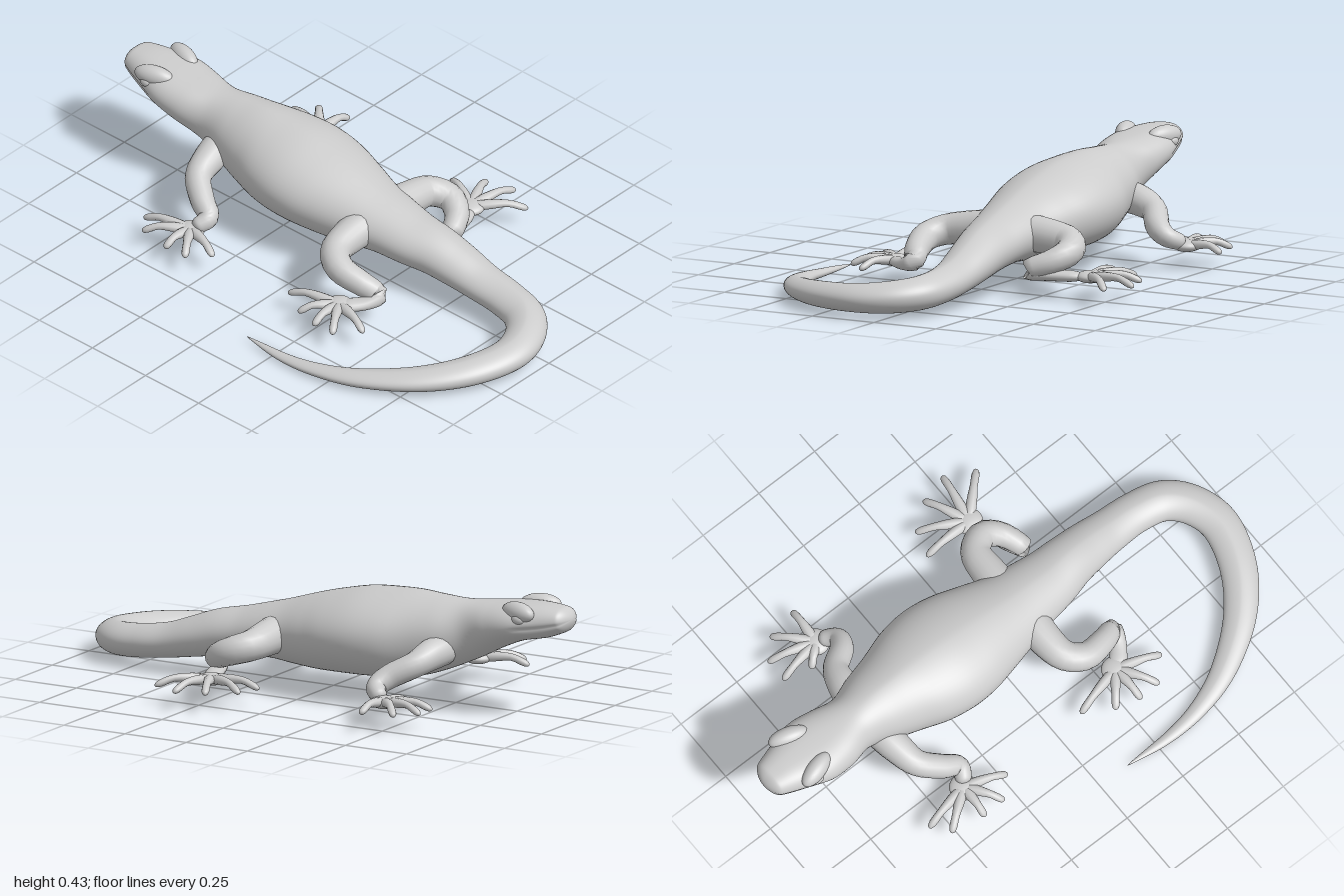
import * as THREE from 'three';

const material = new THREE.MeshStandardMaterial({ color: 0xcccccc, roughness: 0.8 });
const UP = new THREE.Vector3(0, 1, 0);

// Sweep an oval section along stations [x, y, z, halfWidth, halfHeight], with rounded ends.
// shape(angle, centre) may return [side, up] multipliers for the section.
function sweep(name, stations, { rings = 24, sides = 14, round = 0.1, shape } = {}) {
  const path = new THREE.CatmullRomCurve3(stations.map(s => new THREE.Vector3(s[0], s[1], s[2])), false, 'catmullrom', 0.5);
  const size = new THREE.CatmullRomCurve3(stations.map(s => new THREE.Vector3(s[3], s[4] ?? s[3], 0)), false, 'catmullrom', 0.5);
  const pos = [], index = [];
  for (let i = 0; i <= rings; i++) {
    const s = i / rings, u = s * s * (3 - 2 * s);
    const c = path.getPoint(u), r = size.getPoint(u);
    const t = path.getTangent(u);
    const side = new THREE.Vector3().crossVectors(t, UP).normalize();
    const up = new THREE.Vector3().crossVectors(side, t);
    const e = Math.min(1, Math.min(u, 1 - u) / round);
    const k = Math.max(0.02, Math.sqrt(1 - (1 - e) ** 2));
    for (let j = 0; j < sides; j++) {
      const a = (j / sides) * Math.PI * 2;
      const [m, n] = shape ? shape(a, c) : [Math.cos(a), Math.sin(a)];
      const p = c.clone().addScaledVector(side, r.x * k * m).addScaledVector(up, r.y * k * n);
      pos.push(p.x, p.y, p.z);
    }
  }
  for (let i = 0; i < rings; i++) {
    for (let j = 0; j < sides; j++) {
      const a = i * sides + j, b = i * sides + (j + 1) % sides;
      index.push(a, a + sides, b, b, a + sides, b + sides);
    }
  }
  // close both ends
  for (let j = 1; j < sides - 1; j++) {
    const l = rings * sides;
    index.push(0, j, j + 1, l, l + j + 1, l + j);
  }
  const g = new THREE.BufferGeometry();
  g.setAttribute('position', new THREE.Float32BufferAttribute(pos, 3));
  g.setIndex(index);
  g.computeVertexNormals();
  const mesh = new THREE.Mesh(g, material);
  mesh.name = name;
  return mesh;
}

function ellipsoid(name, x, y, z, rx, ry, rz) {
  const mesh = new THREE.Mesh(new THREE.SphereGeometry(1, 24, 16), material);
  mesh.position.set(x, y, z);
  mesh.scale.set(rx, ry, rz);
  mesh.name = name;
  return mesh;
}

// Flat boxy head with a mouth groove, blending to a ridged back and rounded belly
function bodySection(a, c) {
  const cos = Math.cos(a), sin = Math.sin(a);
  const back = THREE.MathUtils.smoothstep(c.x, -0.8, -0.45);
  const power = sin > 0 ? 0.75 + 0.45 * back : 0.9;
  const front = 1 - THREE.MathUtils.smoothstep(c.x, -0.86, -0.78);
  const groove = 1 - 0.07 * front * Math.exp(-(((sin + 0.25) / 0.12) ** 2));
  return [Math.sign(cos) * Math.abs(cos) ** power * groove, sin];
}

// Limb, flattened palm and five arched toes; tips are [x, z]
function leg(name, limb, palm, tips) {
  const g = new THREE.Group();
  g.name = name;
  g.add(sweep('limb', limb, { rings: 36, sides: 18, round: 0.06 }));
  const [px, pz] = palm;
  g.add(ellipsoid('palm', px, 0.085, pz, 0.05, 0.022, 0.05));
  for (const [x, z] of tips) {
    const at = f => [px + (x - px) * f, pz + (z - pz) * f];
    const toe = [[0, 0.085, 0.02], [0.35, 0.093, 0.019], [0.65, 0.095, 0.014], [0.88, 0.08, 0.014], [1, 0.07, 0.008]]
      .map(([f, y, r]) => [at(f)[0], y, at(f)[1], r, r * 0.9]);
    g.add(sweep('toe', toe, { rings: 16, sides: 10, round: 0.1 }));
  }
  return g;
}

export function createModel() {
  const model = new THREE.Group();
  model.name = 'lizard';

  // Head, trunk and curled tail in one skin
  const spine = [
    [-1.0, 0.372, -0.04, 0.055, 0.033], [-0.96, 0.366, -0.04, 0.074, 0.047],
    [-0.9, 0.357, -0.04, 0.095, 0.06], [-0.8, 0.344, -0.04, 0.126, 0.069],
    [-0.7, 0.32, -0.04, 0.123, 0.085], [-0.6, 0.292, -0.048, 0.105, 0.107],
    [-0.5, 0.272, -0.055, 0.135, 0.132], [-0.4, 0.257, -0.056, 0.165, 0.152],
    [-0.3, 0.247, -0.057, 0.198, 0.158], [-0.2, 0.24, -0.057, 0.212, 0.157],
    [-0.1, 0.228, -0.056, 0.205, 0.148], [0, 0.214, -0.055, 0.18, 0.136],
    [0.1, 0.202, -0.055, 0.152, 0.118], [0.2, 0.193, -0.06, 0.13, 0.099],
    [0.3, 0.178, -0.066, 0.115, 0.088], [0.4, 0.163, -0.08, 0.1, 0.083],
    [0.5, 0.138, -0.09, 0.09, 0.073], [0.6, 0.113, -0.095, 0.08, 0.063],
    [0.71, 0.096, -0.095, 0.075, 0.06], [0.82, 0.084, -0.07, 0.074, 0.059],
    [0.895, 0.074, 0.01, 0.072, 0.056], [0.922, 0.067, 0.13, 0.07, 0.05],
    [0.87, 0.058, 0.29, 0.066, 0.045], [0.76, 0.047, 0.43, 0.058, 0.037],
    [0.6, 0.034, 0.54, 0.045, 0.028], [0.45, 0.024, 0.593, 0.032, 0.02],
    [0.3, 0.016, 0.61, 0.021, 0.014], [0.12, 0.016, 0.602, 0.007, 0.006],
  ];
  model.add(sweep('body', spine, { rings: 220, sides: 56, round: 0.03, shape: bodySection }));

  // Raised brows with eyes below them
  for (const s of [-1, 1]) {
    const brow = ellipsoid(s > 0 ? 'leftBrow' : 'rightBrow', -0.825, 0.391, -0.04 + s * 0.078, 0.075, 0.037, 0.035);
    brow.rotation.y = s * 0.3;
    model.add(brow, ellipsoid(s > 0 ? 'leftEye' : 'rightEye', -0.84, 0.372, -0.04 + s * 0.102, 0.026, 0.02, 0.019));
  }

  model.add(leg('leftFrontLeg', [
    [-0.53, 0.23, 0.0, 0.06], [-0.515, 0.215, 0.09, 0.057], [-0.49, 0.19, 0.18, 0.047],
    [-0.42, 0.15, 0.235, 0.043], [-0.365, 0.12, 0.265, 0.036], [-0.385, 0.095, 0.32, 0.027],
  ], [-0.395, 0.325], [[-0.58, 0.365], [-0.53, 0.43], [-0.4, 0.455], [-0.31, 0.45], [-0.24, 0.38]]));

  model.add(leg('rightFrontLeg', [
    [-0.53, 0.23, -0.11, 0.06], [-0.515, 0.215, -0.2, 0.055], [-0.49, 0.19, -0.27, 0.046],
    [-0.42, 0.15, -0.325, 0.043], [-0.4, 0.12, -0.375, 0.036], [-0.445, 0.095, -0.42, 0.027],
  ], [-0.46, -0.42], [[-0.45, -0.565], [-0.57, -0.54], [-0.635, -0.47], [-0.635, -0.385], [-0.53, -0.355]]));

  // Hind limbs fold at the knee, then the heel turns the foot outward
  model.add(leg('leftHindLeg', [
    [0.15, 0.2, 0.0, 0.07], [0.148, 0.195, 0.1, 0.062], [0.165, 0.185, 0.19, 0.054],
    [0.23, 0.165, 0.235, 0.05], [0.32, 0.135, 0.22, 0.044], [0.375, 0.105, 0.2, 0.036],
    [0.36, 0.088, 0.25, 0.03, 0.022], [0.3, 0.085, 0.32, 0.036, 0.02],
  ], [0.295, 0.315], [[0.1, 0.365], [0.205, 0.43], [0.3, 0.455], [0.385, 0.45], [0.46, 0.37]]));

  model.add(leg('rightHindLeg', [
    [0.15, 0.2, -0.11, 0.07], [0.15, 0.195, -0.21, 0.063], [0.162, 0.185, -0.3, 0.055],
    [0.225, 0.165, -0.343, 0.05], [0.288, 0.135, -0.31, 0.044], [0.325, 0.105, -0.235, 0.036],
    [0.295, 0.088, -0.29, 0.03, 0.022], [0.25, 0.085, -0.42, 0.036, 0.02],
  ], [0.24, -0.435], [[0.045, -0.43], [0.07, -0.525], [0.165, -0.6], [0.275, -0.63], [0.385, -0.575]]));

  return model;
}
